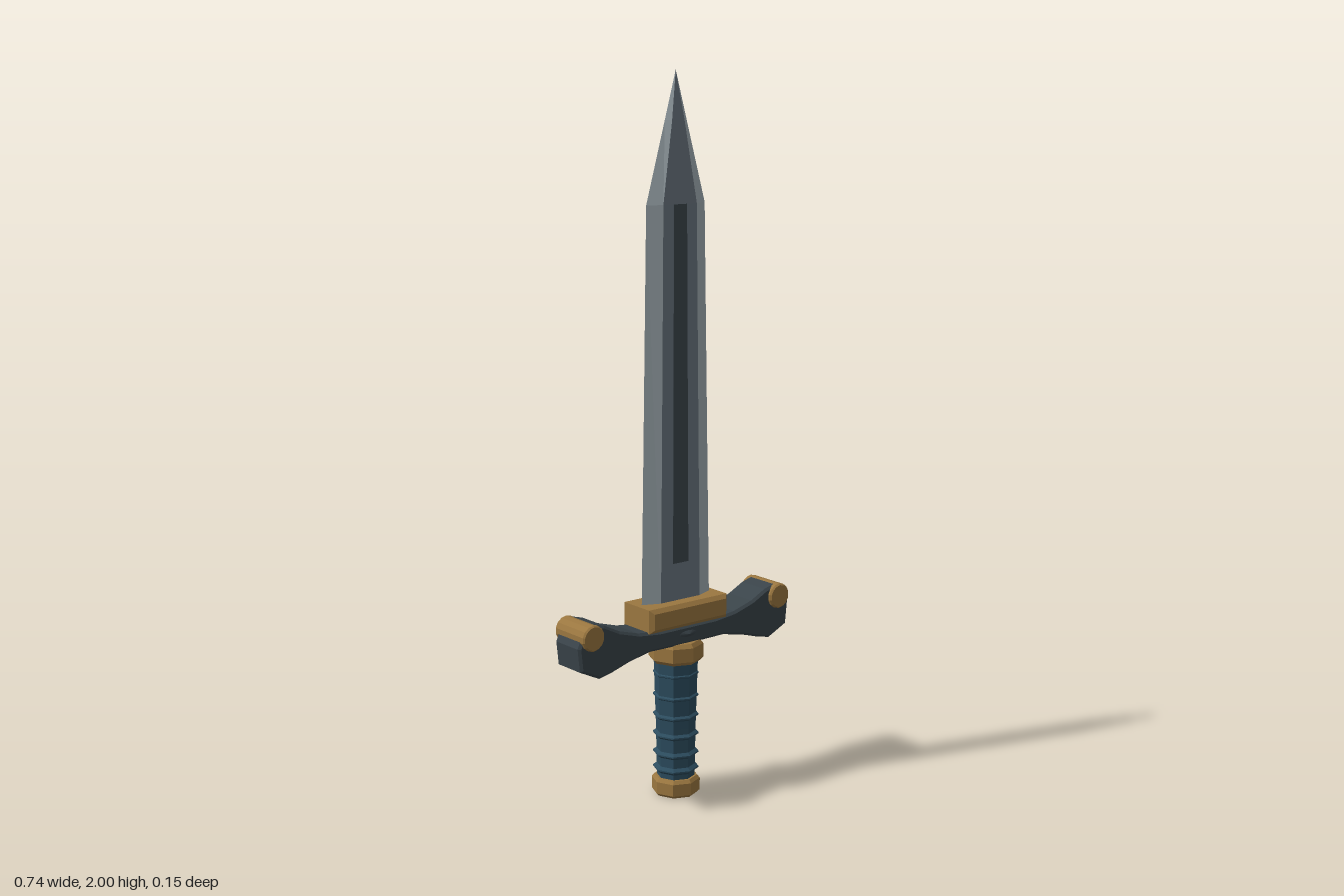
import * as THREE from 'three';

const mat = (color, extra = {}) => {
  const m = new THREE.MeshStandardMaterial({ color, flatShading: true, ...extra });
  return m;
};

export function createModel() {
  const group = new THREE.Group();
  const gold = mat(0x9b7740), dark = mat(0x3a444a), teal = mat(0x2c4c5e);
  const edgeSteel = mat(0xa3afb5), midSteel = mat(0x6c7882), fuller = mat(0x3d474d);

  const add = (name, geometry, material, x = 0, y = 0, z = 0) => {
    const mesh = new THREE.Mesh(geometry, material);
    mesh.name = name;
    mesh.position.set(x, y, z);
    group.add(mesh);
    return mesh;
  };

  // Outline in x/y, extruded symmetrically in z with a chamfer inside the outline
  const slab = (points, halfDepth, bevel) => {
    const shape = new THREE.Shape(points.map(([x, y]) => new THREE.Vector2(x, y)));
    const g = new THREE.ExtrudeGeometry(shape, {
      depth: 2 * (halfDepth - bevel), bevelEnabled: true, bevelSegments: 1,
      bevelSize: bevel, bevelThickness: bevel, bevelOffset: -bevel,
    });
    return g.translate(0, 0, -(halfDepth - bevel));
  };

  // Octagonal turned part, corners on the x and z axes
  const turned = (points) =>
    new THREE.LatheGeometry(points.map(([r, y]) => new THREE.Vector2(r, y)), 8);

  // Blade sections: height, half width, half width of the flat, half thickness
  const sections = [
    [0.53, 0.12, 0.069, 0.021],
    [1.65, 0.1, 0.057, 0.019],
    [1.87, 0.037, 0.021, 0.011],
    [2.0, 0, 0, 0],
  ];
  const corners = ([y, w, f, t]) => [
    [w, y, 0], [f, y, t], [-f, y, t], [-w, y, 0], [-f, y, -t], [f, y, -t],
  ];
  const bladeFaces = (isFlat) => {
    const pos = [];
    for (let s = 0; s < sections.length - 1; s++) {
      const a = corners(sections[s]), b = corners(sections[s + 1]);
      for (let i = 0; i < 6; i++) {
        if ((i === 1 || i === 4) !== isFlat) continue;
        const j = (i + 1) % 6;
        pos.push(...a[i], ...b[j], ...a[j]);
        if (s < sections.length - 2) pos.push(...a[i], ...b[i], ...b[j]);
      }
    }
    // Corners run towards -x on the front, so reverse each triangle
    for (let k = 0; k < pos.length; k += 9) {
      for (let c = 0; c < 3; c++) {
        [pos[k + 3 + c], pos[k + 6 + c]] = [pos[k + 6 + c], pos[k + 3 + c]];
      }
    }
    const g = new THREE.BufferGeometry();
    g.setAttribute('position', new THREE.Float32BufferAttribute(pos, 3));
    // Outward check: every face must look away from the blade's axis
    const p = g.attributes.position;
    const A = new THREE.Vector3(), B = new THREE.Vector3(), C = new THREE.Vector3();
    for (let k = 0; k < p.count; k += 3) {
      A.fromBufferAttribute(p, k); B.fromBufferAttribute(p, k + 1); C.fromBufferAttribute(p, k + 2);
      const n = B.clone().sub(A).cross(C.clone().sub(A));
      const m = A.clone().add(B).add(C);
      if (n.x * m.x + n.z * m.z < 0) {
        p.setXYZ(k + 1, C.x, C.y, C.z);
        p.setXYZ(k + 2, B.x, B.y, B.z);
      }
    }
    g.computeVertexNormals();
    return g;
  };
  add('bladeEdges', bladeFaces(false), edgeSteel);
  add('bladeFlats', bladeFaces(true), midSteel);

  // Dark strip along the blade, tapering to the top
  const strip = new THREE.BoxGeometry(0.054, 0.98, 0.044);
  const sp = strip.attributes.position;
  for (let i = 0; i < sp.count; i++) {
    if (sp.getY(i) > 0) {
      sp.setX(i, sp.getX(i) * 0.83);
      sp.setZ(i, sp.getZ(i) * 0.93);
    }
  }
  add('fuller', strip, fuller, 0, 1.16, 0);

  // Block at the foot of the blade
  add('bladeCollar',
    slab([[-0.137, 0.498], [0.137, 0.498], [0.137, 0.565], [-0.137, 0.565]], 0.066, 0.011), gold);

  // Curved crossguard, mirrored about x = 0
  const half = [
    [0.06, 0.445], [0.13, 0.446], [0.2, 0.432], [0.26, 0.414], [0.302, 0.405], [0.365, 0.435],
    [0.372, 0.5], [0.355, 0.54], [0.318, 0.559], [0.285, 0.55], [0.235, 0.525],
    [0.17, 0.506], [0.1, 0.498],
  ];
  const mirrored = half.map(([x, y]) => [-x, y]).reverse();
  add('crossguard', slab([...half, ...mirrored], 0.055, 0.007), dark);

  // Oval boss on both faces of the guard
  const boss = new THREE.SphereGeometry(1, 12, 6).rotateX(Math.PI / 2).scale(0.072, 0.022, 0.062);
  add('guardBoss', boss, dark, 0, 0.475, 0);

  // Round pins through the guard ends
  for (const side of [-1, 1]) {
    const pin = turnedPin();
    add(side > 0 ? 'leftGuardPin' : 'rightGuardPin', pin, gold, side * 0.329, 0.525, 0);
  }

  // Grip, its ridges, and the collars at both ends
  add('gripCollar',
    turned([[0, 0.388], [0.068, 0.388], [0.077, 0.398], [0.077, 0.437], [0.068, 0.448], [0, 0.448]]), gold);
  add('grip', turned([[0.053, 0.04], [0.056, 0.2], [0.062, 0.39]]), teal);
  [0.075, 0.12, 0.175, 0.23, 0.287, 0.352].forEach((y) => {
    add('gripRidge', turned([[0.052, y - 0.011], [0.064, y - 0.002], [0.064, y + 0.002], [0.052, y + 0.011]]), teal);
  });
  add('pommel',
    turned([[0, 0], [0.06, 0], [0.068, 0.008], [0.068, 0.042], [0.06, 0.051], [0, 0.051]]), gold);

  return group;
}

// Short chamfered rod lying along z
function turnedPin() {
  const profile = [[0, -0.066], [0.032, -0.066], [0.036, -0.061], [0.036, 0.061], [0.032, 0.066], [0, 0.066]];
  return new THREE.LatheGeometry(profile.map(([r, y]) => new THREE.Vector2(r, y)), 14).rotateX(Math.PI / 2);
}
